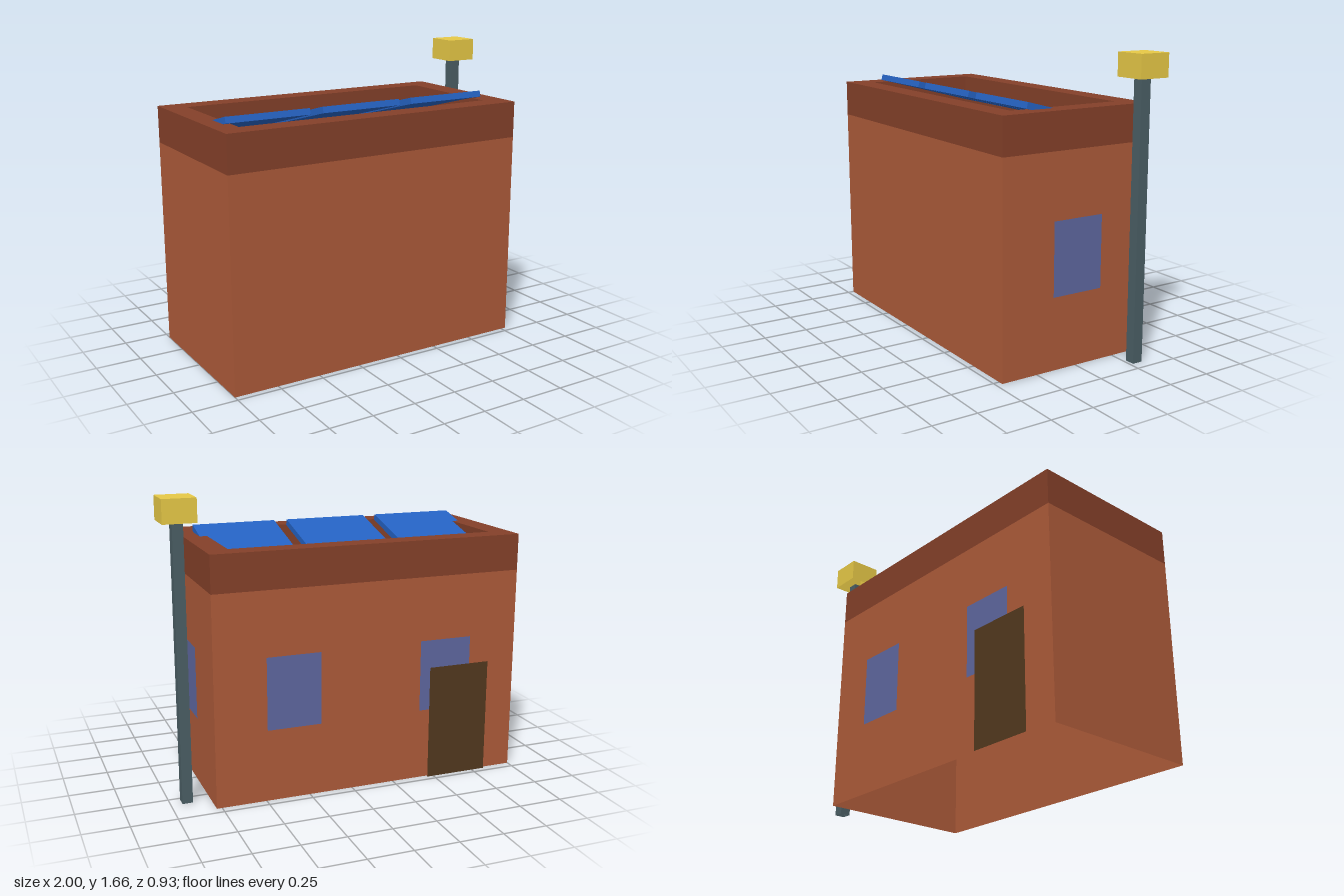
import * as THREE from 'three';

const paint = (name, color, side = THREE.DoubleSide) => {
  const m = new THREE.MeshStandardMaterial({ color, side });
  m.name = name;
  return m;
};

export function createModel() {
  const brick = paint('brick', 0xac5a39);
  const darkBrick = paint('dark brick', 0x844029);
  const roofGrey = paint('roof grey', 0x70706c);
  const solarBlue = paint('solar blue', 0x2562c2, THREE.FrontSide);
  const glass = paint('window glass', 0x5e679f);
  const doorBrown = paint('door brown', 0x52381e);
  const steel = paint('steel', 0x4a5e64);
  const lampYellow = paint('lamp yellow', 0xe6c846);

  const model = new THREE.Group();
  model.name = 'building';

  const add = (name, geometry, mat, x, y, z, parent = model) => {
    const mesh = new THREE.Mesh(geometry, mat);
    mesh.position.set(x, y, z);
    mesh.name = name;
    parent.add(mesh);
    return mesh;
  };

  // Box given by its low and high corners; open sides: 2 = top, 3 = bottom
  const box = (name, mat, [x0, y0, z0], [x1, y1, z1], open = [], parent = model) => {
    const g = new THREE.BoxGeometry(x1 - x0, y1 - y0, z1 - z0);
    g.setIndex([...g.index.array].filter((_, i) => !open.includes(Math.floor(i / 6))));
    g.clearGroups();
    return add(name, g, mat, (x0 + x1) / 2, (y0 + y1) / 2, (z0 + z1) / 2, parent);
  };

  const left = -1, right = 0.78, back = -0.451, front = 0.465;
  const wallTop = 1.172, parapetTop = 1.377;
  const inner = { x0: -0.875, x1: 0.652, z0: -0.329, z1: 0.337 };

  // Hollow walls, open below
  box('walls', brick, [left, 0, back], [right, wallTop, front], [2, 3]);

  // Flat roof sunk inside the parapet
  add('roof', new THREE.PlaneGeometry(inner.x1 - inner.x0, inner.z1 - inner.z0).rotateX(-Math.PI / 2),
    roofGrey, (inner.x0 + inner.x1) / 2, 1.203, (inner.z0 + inner.z1) / 2);

  // Parapet ring around the roof
  const rect = (Type, x0, z0, x1, z1) => new Type([
    [x0, -z0], [x0, -z1], [x1, -z1], [x1, -z0],
  ].map(([x, y]) => new THREE.Vector2(x, y)));
  const ring = rect(THREE.Shape, left, back, right, front);
  ring.holes.push(rect(THREE.Path, inner.x0, inner.z0, inner.x1, inner.z1));
  add('parapet',
    new THREE.ExtrudeGeometry(ring, { depth: parapetTop - wallTop, bevelEnabled: false })
      .rotateX(-Math.PI / 2),
    darkBrick, 0, wallTop, 0);

  // Tilted solar panels, pivoting on their raised front edge
  for (const x of [-0.671, -0.11, 0.451]) {
    const pivot = new THREE.Group();
    pivot.name = 'solarPanel';
    pivot.position.set(x, 1.419, 0.257);
    pivot.rotation.x = -0.26;
    box('panel', solarBlue, [-0.242, -0.035, -0.64], [0.242, 0, 0], [], pivot);
    model.add(pivot);
  }

  // Flat windows standing just off the walls: two at the back, one at the side
  const pane = () => new THREE.PlaneGeometry(0.306, 0.405);
  for (const x of [0.341, -0.554]) {
    add('backWindow', pane().rotateY(Math.PI), glass, x, 0.612, back - 0.015);
  }
  add('sideWindow', pane().rotateY(Math.PI / 2), glass, right + 0.018, 0.612, 0.008);

  // Back door, overlapping one window
  add('door', new THREE.PlaneGeometry(0.364, 0.655).rotateY(Math.PI),
    doorBrown, -0.644, 0.3275, back - 0.016);

  // Lamp post with a lamp head open below
  box('lampPost', steel, [0.88, 0, -0.328], [0.938, 1.532, -0.268], [2, 3]);
  box('lampHead', lampYellow, [0.82, 1.53, -0.389], [1, 1.657, -0.208], [3]);

  return model;
}
